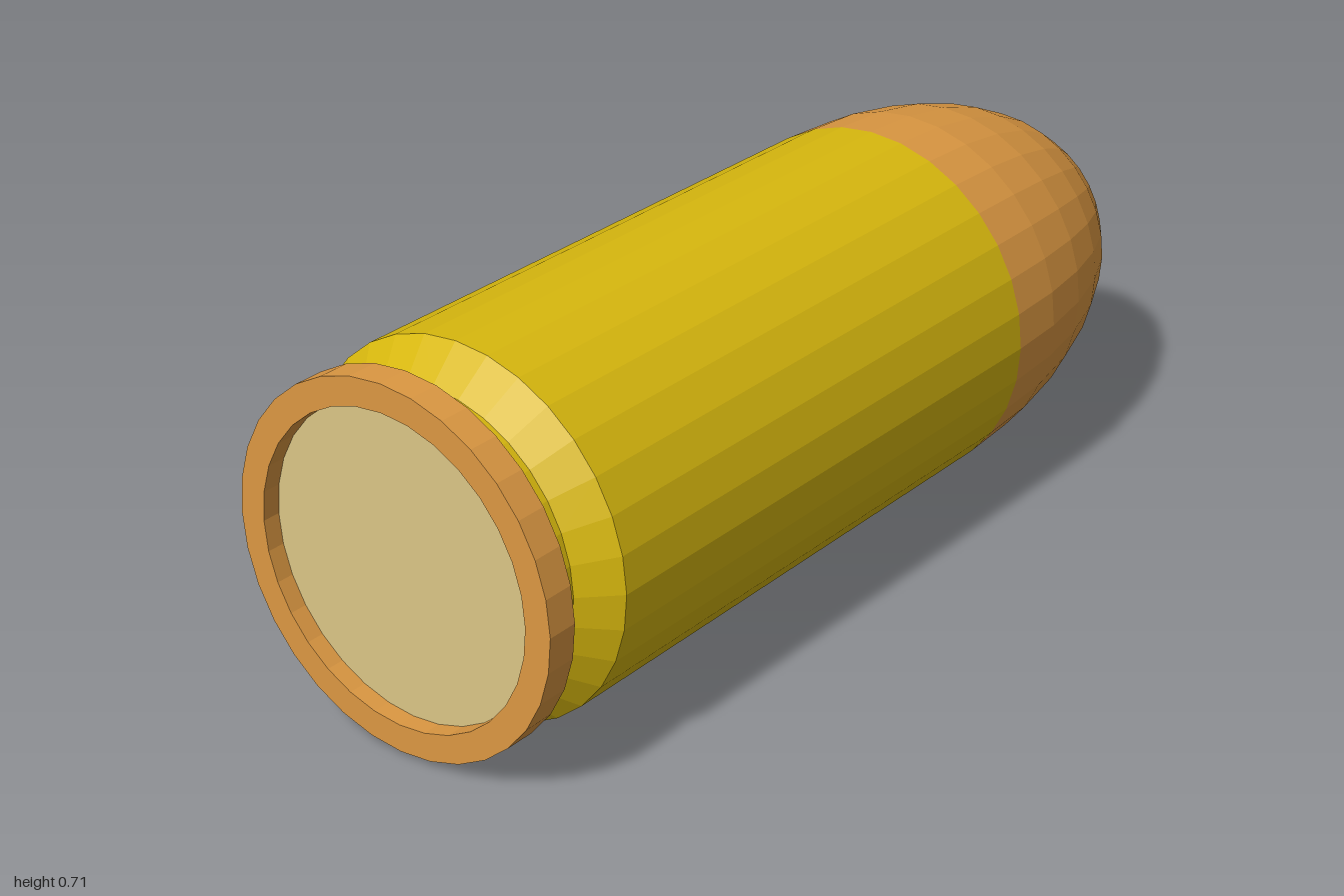
import * as THREE from 'three';

const SIDES = 32;
const RADIUS = 0.355;
const CENTRE_Y = 0.356;

const paint = (color) => new THREE.MeshStandardMaterial({ color, flatShading: true });

// Turned part lying along z: profile points are [radius, z], from front to back
function turned(name, profile, material) {
  const points = profile.map(([r, z]) => new THREE.Vector2(r, -z));
  const mesh = new THREE.Mesh(new THREE.LatheGeometry(points, SIDES), material);
  mesh.name = name;
  mesh.rotation.x = -Math.PI / 2;
  mesh.position.y = CENTRE_Y;
  return mesh;
}

export function createModel() {
  const group = new THREE.Group();
  group.name = 'cartridge';
  const brass = paint(0xd8b80e);
  const copper = paint(0xdc9842);
  const primerMetal = paint(0xdbc686);

  // Case with extraction groove and chamfered shoulder
  group.add(turned('case', [
    [0.293, 0.94], [0.293, 0.88], [RADIUS, 0.82], [RADIUS, -0.35],
  ], brass));

  // Rim ring around the recessed base
  group.add(turned('rim', [
    [0.294, 0.94], [0.294, 1], [0.347, 1], [0.347, 0.94], [0.294, 0.94],
  ], copper));

  // Recessed base plate
  const base = new THREE.Mesh(new THREE.CircleGeometry(0.294, SIDES), primerMetal);
  base.name = 'basePlate';
  base.position.set(0, CENTRE_Y, 0.965);
  group.add(base);

  // Half-ellipsoid nose
  const nose = [];
  for (let i = 0; i <= 8; i++) {
    const a = (i / 8) * Math.PI / 2;
    nose.push([i === 8 ? 0 : RADIUS * Math.cos(a), -0.35 - 0.65 * Math.sin(a)]);
  }
  group.add(turned('nose', nose, copper));

  return group;
}
